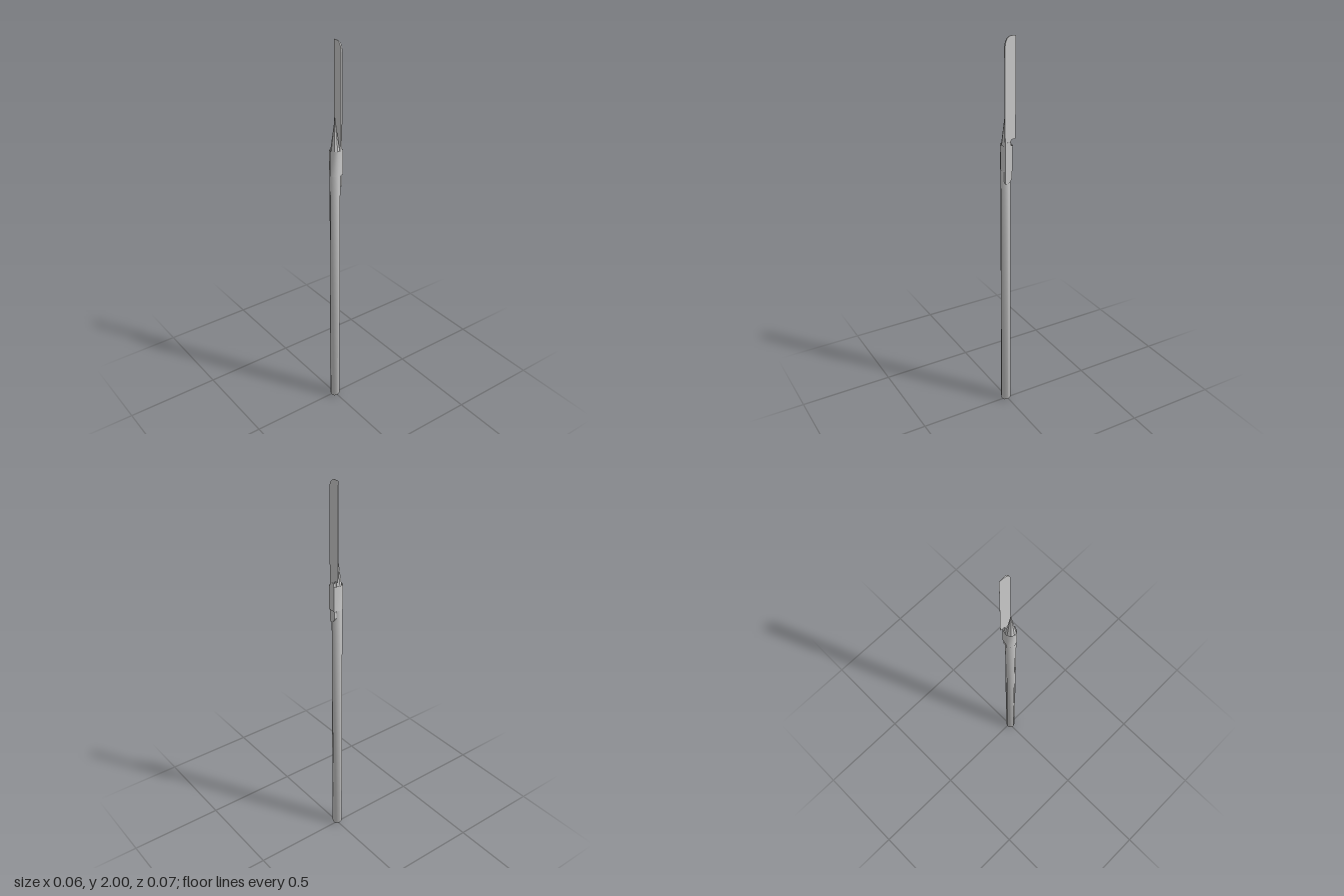
import * as THREE from 'three';
import { toCreasedNormals } from 'three/addons/utils/BufferGeometryUtils.js';

const PX = -0.003, PZ = 0.006; // pole axis

export function createModel() {
  const group = new THREE.Group();
  const smooth = new THREE.MeshStandardMaterial({ color: 0xcccccc });
  const flat = new THREE.MeshStandardMaterial({ color: 0xcccccc, flatShading: true });
  const open = new THREE.MeshStandardMaterial({ color: 0xcccccc, side: THREE.DoubleSide });

  const add = (name, geometry, material, x = 0, y = 0, z = 0) => {
    const mesh = new THREE.Mesh(geometry, material);
    mesh.name = name;
    mesh.position.set(x, y, z);
    group.add(mesh);
  };

  // Extrudes a side outline of [z, y] points; thickness(z) gives the full width along x
  const sidePlate = (shape, thickness) => {
    const g = new THREE.ExtrudeGeometry(shape, { depth: 1, bevelEnabled: false, curveSegments: 6 });
    g.translate(0, 0, -0.5).rotateY(Math.PI / 2);
    const p = g.attributes.position;
    for (let i = 0; i < p.count; i++) p.setX(i, p.getX(i) * thickness(p.getZ(i)));
    g.computeVertexNormals();
    return g;
  };

  // Eight-sided pole with a small bevel at the foot
  const profile = [[0, 0], [0.021, 0], [0.026, 0.008], [0.026, 1.45]]
    .map(([r, y]) => new THREE.Vector2(r, y));
  add('pole', toCreasedNormals(new THREE.LatheGeometry(profile, 8), 0.9), smooth, PX, 0, PZ);

  // Sharpened tip
  add('tip', new THREE.ConeGeometry(0.026, 0.205, 8, 1, true), flat, PX, 1.5525, PZ);

  // Knife blade: thick spine at the front, sharp edge at the back, rounded point
  const blade = new THREE.Shape();
  blade.moveTo(-0.024, 1.49);
  blade.lineTo(0.004, 1.49);
  blade.lineTo(0.012, 1.512);
  blade.lineTo(0.035, 1.512);
  blade.lineTo(0.035, 2);
  blade.lineTo(0.006, 2);
  blade.quadraticCurveTo(-0.02, 1.995, -0.024, 1.955);
  add('blade', sidePlate(blade, (z) => 0.0003 + 0.008 * (z + 0.035) / 0.059), flat, 0.0215);

  // Knife handle, running under the wrap to a slanted, rounded butt
  const handle = new THREE.Shape();
  handle.moveTo(-0.024, 1.5);
  handle.lineTo(-0.024, 1.3);
  handle.quadraticCurveTo(-0.022, 1.286, -0.012, 1.288);
  handle.quadraticCurveTo(0.006, 1.295, 0.013, 1.318);
  handle.lineTo(0.01, 1.4);
  handle.lineTo(0.006, 1.5);
  add('handle', sidePlate(handle, () => 0.014), flat, 0.019);

  // Wrap: open sleeve around the pole, squared off over the handle
  const wrap = new THREE.CylinderGeometry(0.028, 0.028, 0.13, 8, 1, true);
  const p = wrap.attributes.position;
  for (let i = 0; i < p.count; i++) {
    if (p.getX(i) > 0.01) p.setXYZ(i, 0.033, p.getY(i), p.getZ(i) * 0.98 - 0.001);
  }
  add('wrap', toCreasedNormals(wrap, 0.95), open, PX, 1.42, PZ);

  return group;
}
